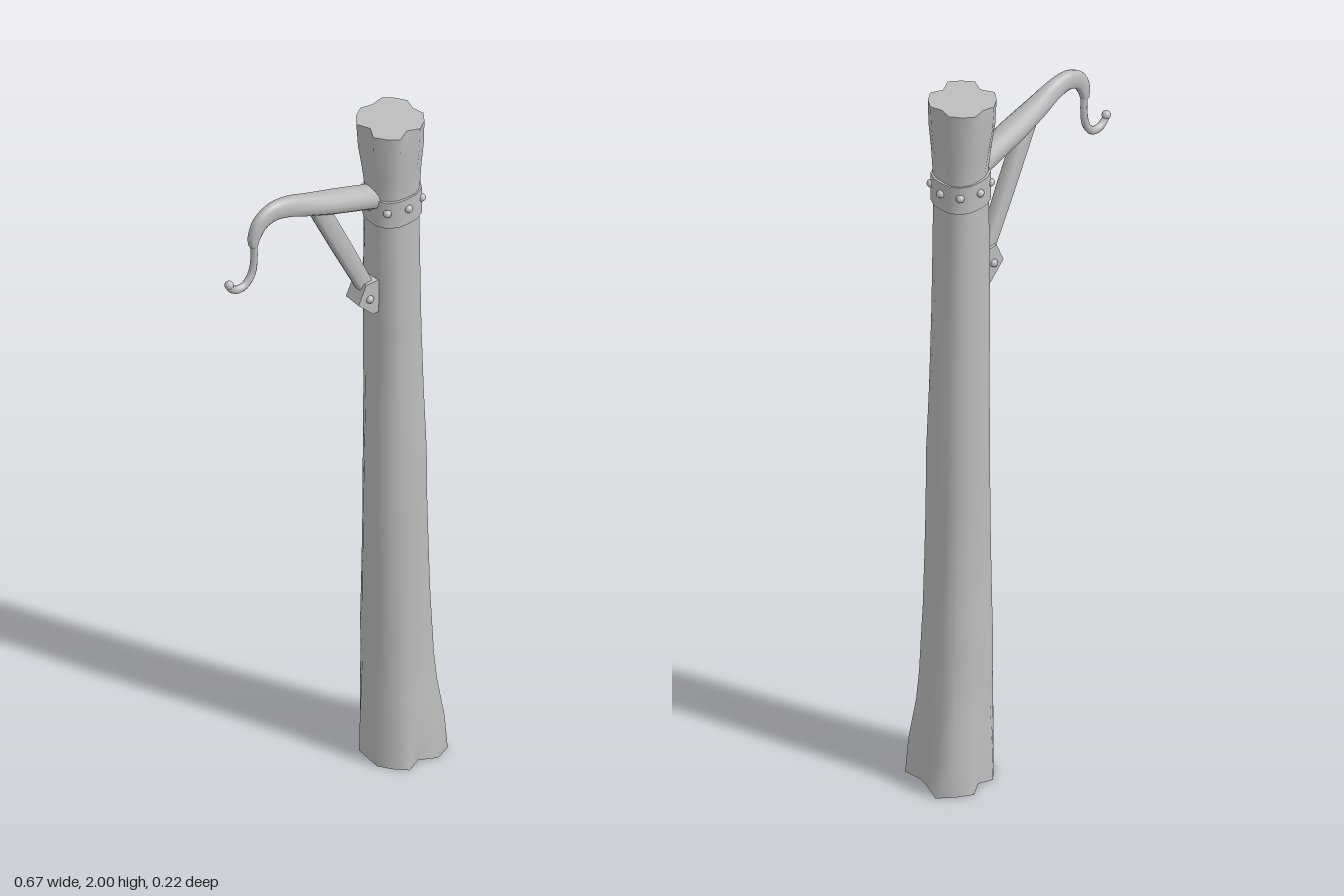
import * as THREE from 'three';

const grey = new THREE.MeshStandardMaterial({ color: 0xbdbdbd });
grey.name = 'plain grey';

// Skin a list of closed rings (arrays of Vector3); the ends get flat caps with sharp edges
function loft(name, rings) {
  const n = rings[0].length, pos = [], index = [];
  const add = (p) => pos.push(p.x, p.y, p.z) / 3 - 1;
  rings.forEach((ring) => ring.forEach(add));
  for (let i = 0; i < rings.length - 1; i++) {
    for (let j = 0; j < n; j++) {
      const k = (j + 1) % n;
      const a = i * n + j, b = i * n + k, c = a + n, d = b + n;
      index.push(a, c, b, b, c, d);
    }
  }
  [rings[0], rings[rings.length - 1]].forEach((ring, end) => {
    const mid = new THREE.Vector3();
    ring.forEach((p) => mid.addScaledVector(p, 1 / n));
    const c = add(mid), s = c + 1;
    ring.forEach(add);
    for (let j = 0; j < n; j++) {
      const k = (j + 1) % n;
      if (end) index.push(c, s + k, s + j);
      else index.push(c, s + j, s + k);
    }
  });
  const geo = new THREE.BufferGeometry();
  geo.setAttribute('position', new THREE.Float32BufferAttribute(pos, 3));
  geo.setIndex(index);
  geo.computeVertexNormals();
  return named(name, geo);
}

function named(name, geo) {
  const mesh = new THREE.Mesh(geo, grey);
  mesh.name = name;
  return mesh;
}

// Sweep a rounded section along a path in the xy plane; stations are [x, y, halfHeight, halfDepth]
function sweep(name, stations, steps, sides = 12, power = 1) {
  const path = new THREE.CatmullRomCurve3(stations.map(([x, y]) => new THREE.Vector3(x, y, 0)));
  const rings = [];
  for (let i = 0; i <= steps; i++) {
    const t = i / steps, f = t * (stations.length - 1);
    const k = Math.min(Math.floor(f), stations.length - 2);
    const h = THREE.MathUtils.lerp(stations[k][2], stations[k + 1][2], f - k);
    const w = THREE.MathUtils.lerp(stations[k][3], stations[k + 1][3], f - k);
    const p = path.getPoint(t), d = path.getTangent(t);
    const round = (v) => Math.sign(v) * Math.abs(v) ** power;
    rings.push(Array.from({ length: sides }, (_, j) => {
      const a = (j / sides) * Math.PI * 2;
      const c = round(Math.cos(a)) * h, s = round(Math.sin(a)) * w;
      return new THREE.Vector3(p.x + d.y * c, p.y - d.x * c, s);
    }));
  }
  return loft(name, rings);
}

// Radii of the flared foot and the lobed head, every 22.5 degrees from +x towards +z
const foot = [0.1, 0.095, 0.127, 0.117, 0.085, 0.113, 0.105, 0.105,
  0.095, 0.1, 0.095, 0.101, 0.08, 0.117, 0.12, 0.135];
const head = [0.07, 0.085, 0.085, 0.085, 0.065, 0.091, 0.088, 0.09,
  0.066, 0.09, 0.088, 0.088, 0.074, 0.088, 0.085, 0.085];

// One ring of the post: a softly squared oval, blended into the foot or head radii
function postRing(y, cx, rx, rz, mix, wobble = 0.025) {
  const table = y < 1 ? foot : head;
  return table.map((r, j) => {
    const a = (j / 16) * Math.PI * 2;
    const q = 1 - 0.04 * Math.cos(4 * a) + wobble * Math.sin(3 * a + y * 6);
    const x = THREE.MathUtils.lerp(rx * q, r, mix), z = THREE.MathUtils.lerp(rz * q, r, mix);
    return new THREE.Vector3(cx + x * Math.cos(a), y, z * Math.sin(a));
  });
}

export function createModel() {
  const model = new THREE.Group();
  model.name = 'postWithHook';

  // Post: y, centre x, radius x, radius z, blend to foot or head
  const post = [
    [0, 0.21, 0.1, 0.1, 1], [0.1, 0.21, 0.096, 0.088, 0.75], [0.22, 0.207, 0.09, 0.081, 0.35],
    [0.3, 0.207, 0.088, 0.081, 0.2], [0.4, 0.206, 0.087, 0.083, 0.1], [0.5, 0.205, 0.086, 0.079, 0.05],
    [0.65, 0.203, 0.084, 0.077, 0], [0.8, 0.2, 0.081, 0.075, 0], [0.95, 0.199, 0.079, 0.076, 0],
    [1.15, 0.197, 0.075, 0.071, 0], [1.35, 0.195, 0.072, 0.07, 0], [1.5, 0.194, 0.071, 0.068, 0],
    [1.65, 0.192, 0.07, 0.066, 0], [1.79, 0.192, 0.069, 0.064, 0.05],
    [1.86, 0.19, 0.069, 0.066, 0.35], [1.93, 0.189, 0.073, 0.073, 0.75], [2, 0.189, 0.08, 0.08, 1],
  ];
  model.add(loft('post', post.map((p) => postRing(...p))));

  // Metal band with rivets
  const band = [1.705, 1.785].map((y) => postRing(y, 0.192, 0.075, 0.071, 0, 0));
  model.add(loft('band', band));
  const rivetGeo = new THREE.SphereGeometry(0.011, 10, 8);
  const rivet = (name, x, y, z) => {
    const mesh = named(name, rivetGeo);
    mesh.position.set(x, y, z);
    model.add(mesh);
  };
  for (let i = 0; i < 8; i++) {
    const a = (i / 8) * Math.PI * 2;
    const r = i % 2 ? 1.03 : 0.965;
    rivet('bandRivet', 0.192 + 0.075 * r * Math.cos(a), 1.753, 0.071 * r * Math.sin(a));
  }

  // Curved arm
  model.add(sweep('arm', [
    [0.14, 1.777, 0.029, 0.032], [0.07, 1.802, 0.029, 0.033], [0, 1.826, 0.028, 0.034],
    [-0.08, 1.855, 0.027, 0.028], [-0.14, 1.878, 0.027, 0.021], [-0.19, 1.884, 0.026, 0.017],
    [-0.228, 1.866, 0.023, 0.015], [-0.247, 1.83, 0.017, 0.013], [-0.25, 1.805, 0.011, 0.011],
  ], 32, 12, 0.75));

  // Hook with a ball tip
  model.add(sweep('hook', [
    [-0.25, 1.82, 0.009, 0.009], [-0.247, 1.77, 0.009, 0.009], [-0.255, 1.72, 0.01, 0.01],
    [-0.278, 1.693, 0.011, 0.01], [-0.305, 1.692, 0.011, 0.01], [-0.323, 1.707, 0.01, 0.009],
    [-0.328, 1.722, 0.009, 0.008],
  ], 28, 10));
  const tip = named('hookTip', new THREE.SphereGeometry(0.012, 12, 8));
  tip.position.set(-0.327, 1.717, 0);
  model.add(tip);

  // Diagonal brace
  model.add(sweep('brace', [
    [-0.045, 1.83, 0.026, 0.02], [0.03, 1.67, 0.025, 0.02], [0.105, 1.51, 0.022, 0.018],
  ], 6, 12, 0.6));

  // Foot bracket of the brace, riveted on both sides
  const outline = [[0.066, 1.478], [0.112, 1.43], [0.135, 1.43], [0.135, 1.53], [0.09, 1.532]];
  const plate = new THREE.ExtrudeGeometry(
    new THREE.Shape(outline.map(([x, y]) => new THREE.Vector2(x, y))),
    { depth: 0.052, bevelEnabled: false });
  plate.translate(0, 0, -0.026);
  model.add(named('braceBracket', plate));
  for (const side of [-1, 1]) rivet('bracketRivet', 0.101, 1.483, side * 0.026);

  return model;
}
